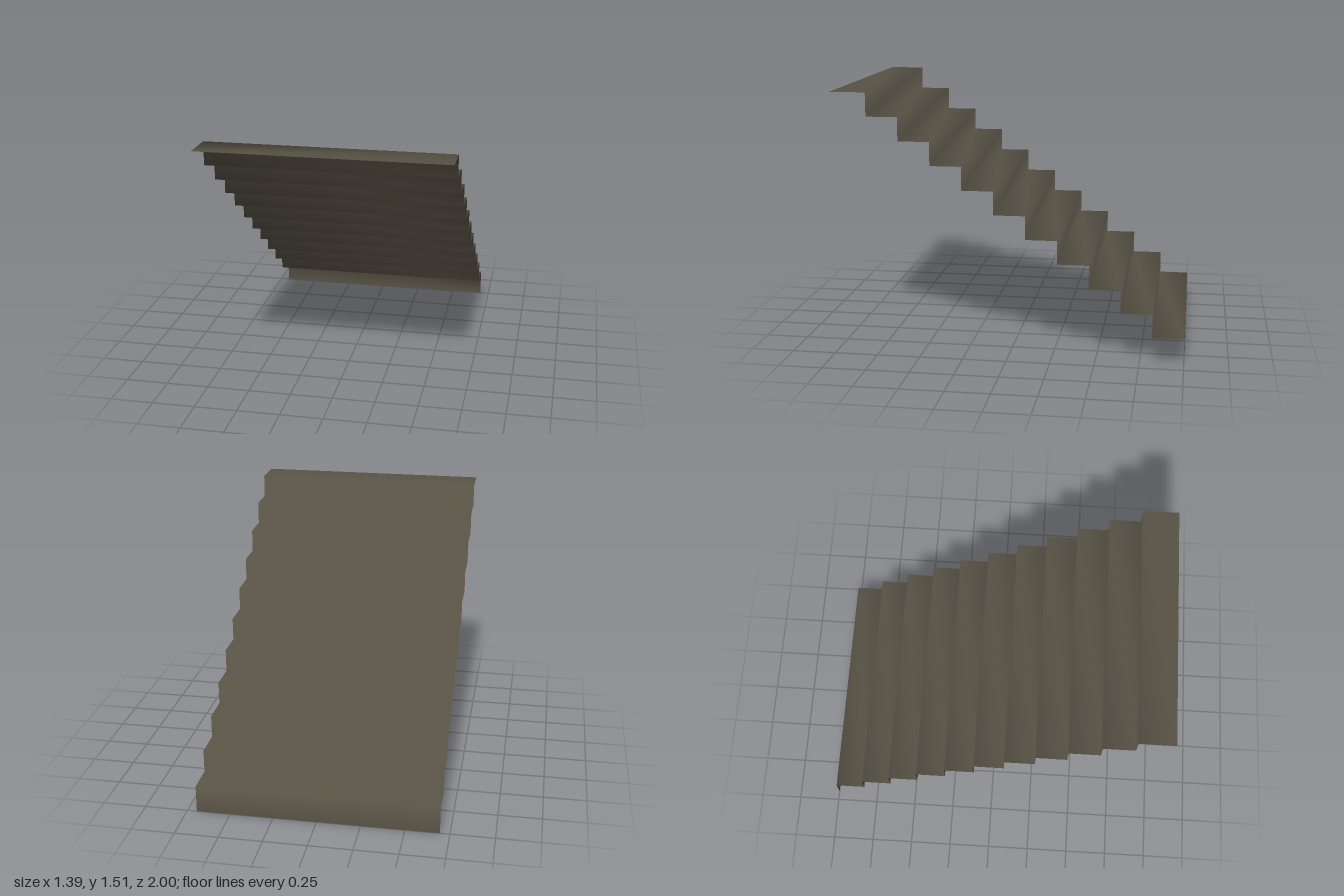
import * as THREE from 'three';

const HALF_WIDTH = 0.695;
const STEPS = 11;
const RISE = 0.135, FIRST_RISE = 0.16;
const RUN = 0.1795, LAST_RUN = 0.205;

// Side profile of the stair as [y, z], climbing from the back to the front
function stairProfile() {
  const points = [[0, -1]];
  let y = 0, z = -1;
  for (let i = 0; i < STEPS; i++) {
    y += i === 0 ? FIRST_RISE : RISE;
    points.push([y, z]);
    z += i === STEPS - 1 ? LAST_RUN : RUN;
    points.push([y, z]);
  }
  return points;
}

// Sweep the profile across x into an open sheet with shared, smooth normals
function sheetGeometry(profile, halfWidth) {
  const positions = [], index = [];
  profile.forEach(([y, z], i) => {
    positions.push(-halfWidth, y, z, halfWidth, y, z);
    if (i === profile.length - 1) return;
    const a = 2 * i, b = a + 1, d = a + 2, c = a + 3;
    index.push(a, d, b, b, d, c);
  });
  const geometry = new THREE.BufferGeometry();
  geometry.setAttribute('position', new THREE.Float32BufferAttribute(positions, 3));
  geometry.setIndex(index);
  geometry.computeVertexNormals();
  return geometry;
}

export function createModel() {
  const stone = new THREE.MeshStandardMaterial({ color: 0x585245, side: THREE.DoubleSide });
  stone.name = 'brownStone';

  const group = new THREE.Group();
  group.name = 'staircase';

  // Treads and risers form one folded sheet, open at both sides
  const steps = new THREE.Mesh(sheetGeometry(stairProfile(), HALF_WIDTH), stone);
  steps.name = 'stairSteps';
  group.add(steps);
  return group;
}
